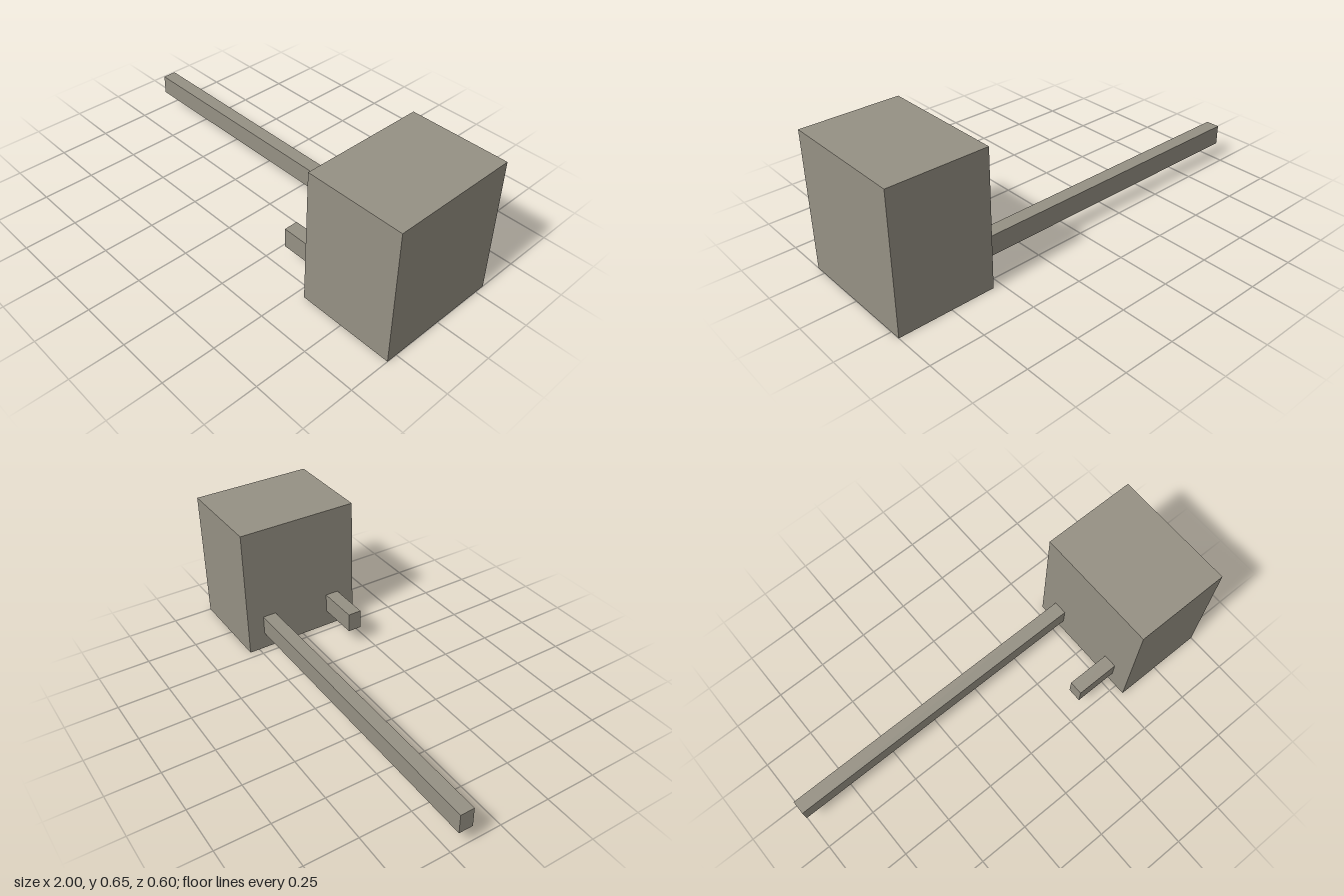
import * as THREE from 'three';

export function createModel() {
  const model = new THREE.Group();
  const stone = new THREE.MeshStandardMaterial({ color: 0x969184 });
  stone.name = 'warm grey';

  // Adds a box spanning the given [min, max] ranges
  function addBox(name, [x0, x1], [y0, y1], [z0, z1]) {
    const mesh = new THREE.Mesh(new THREE.BoxGeometry(x1 - x0, y1 - y0, z1 - z0), stone);
    mesh.position.set((x0 + x1) / 2, (y0 + y1) / 2, (z0 + z1) / 2);
    mesh.name = name;
    model.add(mesh);
  }

  const blockSide = 0.54;
  const barHeight = [0.085, 0.182];

  // Upright block
  addBox('block', [blockSide, 1], [0, 0.655], [-0.3, 0.3]);

  // Two bars reaching out from the block's side
  addBox('longBar', [-1, blockSide], barHeight, [-0.215, -0.148]);
  addBox('shortBar', [0.326, blockSide], barHeight, [0.143, 0.21]);

  return model;
}
